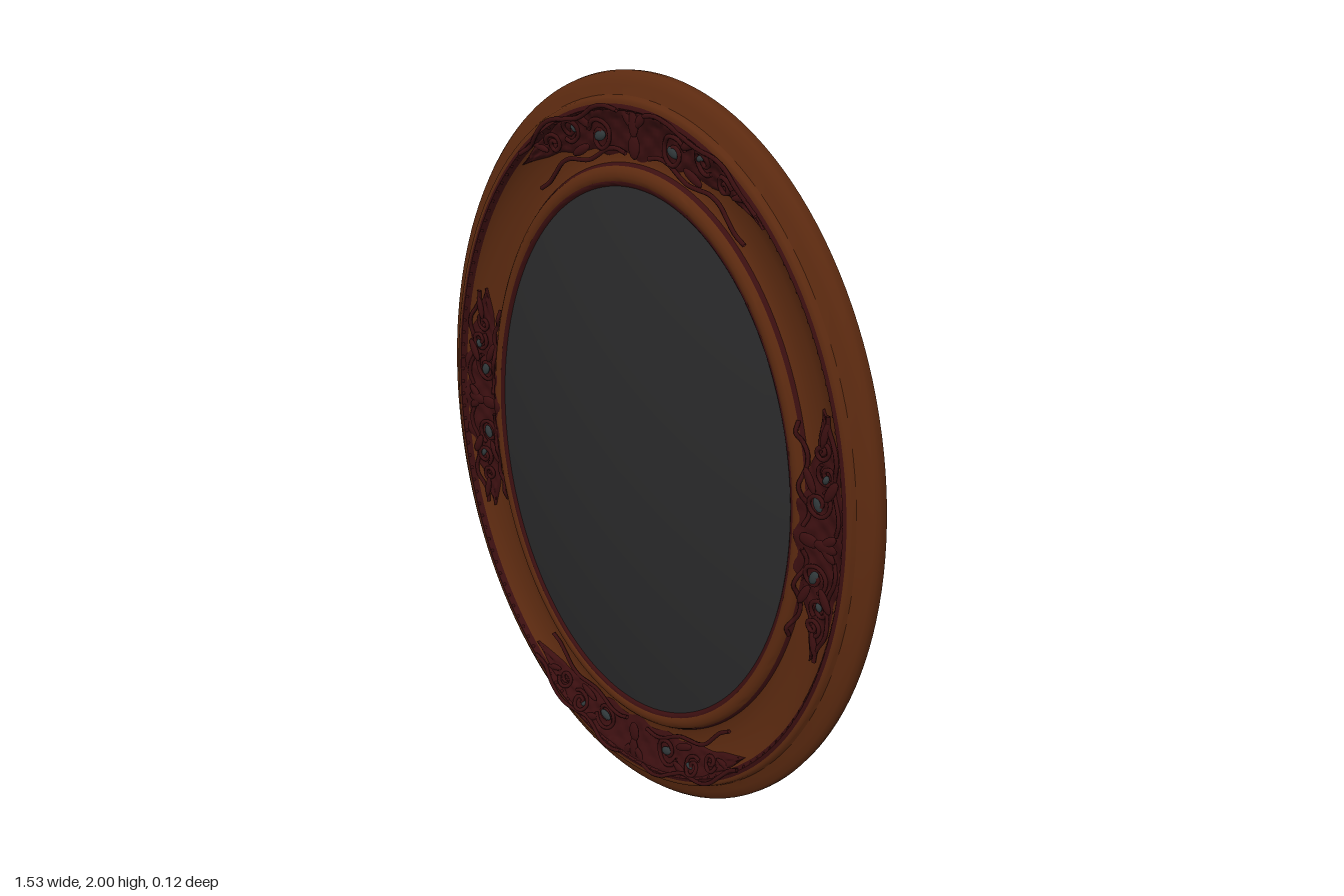
import * as THREE from 'three';
import { mergeGeometries, toCreasedNormals } from 'three/addons/utils/BufferGeometryUtils.js';
import { ParametricGeometry } from 'three/addons/geometries/ParametricGeometry.js';

const mat = (name, color, side = THREE.FrontSide) => {
  const m = new THREE.MeshStandardMaterial({ color, side });
  m.name = name;
  return m;
};

// Point on the oval whose half width is r, at angle a and depth z
const oval = (r, a, z, out = new THREE.Vector3()) => {
  const ry = 1 - (0.765 - r) * 1.115;
  return out.set(r * Math.cos(a), 1 + ry * Math.sin(a), z);
};

// Frame cross-sections as [half width, depth]
const FRONT = [
  [0.765, -0.04], [0.763, -0.028], [0.755, -0.018], [0.738, -0.01], [0.718, -0.002],
  [0.713, 0.01], [0.706, 0.014], [0.692, 0.013], [0.684, 0.004], [0.665, -0.009],
  [0.64, -0.017], [0.61, -0.021], [0.58, -0.02], [0.569, -0.015], [0.564, -0.003],
  [0.555, 0.005], [0.544, 0.007], [0.534, 0.005], [0.528, 0], [0.515, -0.008],
];
const BACK = [
  [0.515, -0.028], [0.605, -0.028], [0.625, -0.038], [0.66, -0.048], [0.7, -0.056],
  [0.74, -0.062], [0.754, -0.063], [0.763, -0.055], [0.765, -0.04],
];

// Depth of the frame's front at half width r
const surface = (r) => {
  for (let i = 1; i < FRONT.length; i++) {
    const [r0, z0] = FRONT[i - 1], [r1, z1] = FRONT[i];
    if (r >= r1) return THREE.MathUtils.lerp(z0, z1, (r0 - r) / (r0 - r1));
  }
  return FRONT.at(-1)[1];
};

// Sweep a cross-section round the oval
function sweep(profile, seg = 144) {
  const pos = [], idx = [], n = profile.length, v = new THREE.Vector3();
  for (let i = 0; i < seg; i++)
    for (const [r, z] of profile) pos.push(...oval(r, (i / seg) * Math.PI * 2, z, v).toArray());
  for (let i = 0; i < seg; i++)
    for (let j = 0; j < n - 1; j++) {
      const a = i * n + j, c = ((i + 1) % seg) * n + j;
      idx.push(a, c, a + 1, c, c + 1, a + 1);
    }
  const g = new THREE.BufferGeometry();
  g.setAttribute('position', new THREE.Float32BufferAttribute(pos, 3));
  g.setIndex(idx);
  return toCreasedNormals(g, 0.7);
}

// Raised half-round band between two half widths
const band = (r0, r1, h) => sweep([0, 1, 2, 3, 4].map((k) => {
  const r = THREE.MathUtils.lerp(r0, r1, k / 4);
  return [r, surface(r) - 0.002 + h * Math.sin((k / 4) * Math.PI)];
}));

export function createModel() {
  const wood = mat('brown wood', 0x5c2a10);
  const carved = mat('maroon carving', 0x3b0f10, THREE.DoubleSide);
  const glassMat = mat('dark glass', 0x2a2a2b);
  const boardMat = mat('olive backing', 0x40301f);
  const slate = mat('slate inlay', 0x30383a);
  const metal = mat('dull metal', 0x33312a);

  const model = new THREE.Group();
  model.name = 'ovalFrame';
  const add = (name, geo, m, parent = model) => {
    const mesh = new THREE.Mesh(geo, m);
    mesh.name = name;
    parent.add(mesh);
    return mesh;
  };

  add('frameMoulding', sweep([...FRONT, ...BACK]), wood);

  // Domed glass
  const dome = [];
  for (let i = 0; i <= 16; i++) {
    const s = 1 - i / 16;
    dome.push(new THREE.Vector2(s, 0.06 - 0.062 * s * s));
  }
  const glass = new THREE.LatheGeometry(dome, 96).rotateX(Math.PI / 2).scale(0.524, 0.73, 1);
  add('domedGlass', glass.translate(0, 1, 0), glassMat);

  // Backing board
  const board = new THREE.CircleGeometry(1, 96).rotateY(Math.PI).scale(0.612, 0.825, 1);
  add('backingBoard', board.translate(0, 1, -0.03), boardMat);

  // Carved bands and beads that run all the way round
  add('outerCarvedBand', band(0.704, 0.68, 0.006), carved);
  add('coveLine', band(0.573, 0.564, 0.005), carved);
  add('innerCarvedBand', band(0.536, 0.517, 0.006), carved);
  const beads = [];
  for (let i = 0; i < 150; i++) {
    const p = oval(0.692, (i / 150) * Math.PI * 2, 0.014);
    beads.push(new THREE.SphereGeometry(0.0065, 6, 4).translate(p.x, p.y, p.z - 0.003));
  }
  add('beading', mergeGeometries(beads), carved);

  // Four carved clusters: angle, local radius, half length, centre and half width
  const clusters = [
    ['topCarving', Math.PI / 2, 0.645, 0.42, 0.643, 0.068],
    ['bottomCarving', -Math.PI / 2, 0.645, 0.42, 0.643, 0.068],
    ['leftCarving', 0, 0.86, 0.34, 0.615, 0.084],
    ['rightCarving', Math.PI, 0.86, 0.34, 0.615, 0.084],
  ];
  for (const [name, angle, k, half, mid, wide] of clusters) {
    const group = new THREE.Group();
    group.name = name;
    model.add(group);
    const at = (s, d, z, out) => oval(mid + d, angle + s / k, z, out);

    // Scalloped ground that tapers to both ends
    const ground = new ParametricGeometry((u, v, out) => {
      const s = u * 2 - 1, w = v * 2 - 1;
      const taper = (1 - Math.abs(s) ** 1.8) * (0.92 + 0.1 * Math.cos(s * 22));
      const d = wide * taper * w + 0.03 * s * s;
      const rise = 0.013 * (1 - w ** 4) * (0.8 + 0.2 * Math.cos(s * 40) * Math.cos(w * 7));
      const z = Math.min(surface(mid + d) - 0.002 + rise, 0.012);
      at(s * half, d, z, out);
    }, 72, 12);
    add('carvedGround', ground, carved, group);

    const scrolls = [], leaves = [], inlays = [];
    const tube = (pts, r) => scrolls.push(
      new THREE.TubeGeometry(new THREE.CatmullRomCurve3(pts), 28, r, 5));
    const blob = (list, s, d, len, w, turn, z) => {
      const p = at(s, d, z);
      list.push(new THREE.SphereGeometry(1, 10, 6).scale(w, len, 0.007)
        .rotateZ(angle + turn).translate(p.x, p.y, p.z));
    };
    const height = (d) => Math.max(surface(mid + d) + 0.012, -0.003);
    for (const m of [-1, 1]) {
      // Spiral scrolls: place along, place across, radius, direction
      for (const [s0, d0, r, dir] of [
        [0.3, -0.012, 0.042, 1], [0.53, 0.022, 0.03, -1], [0.7, 0.012, 0.024, 1],
      ]) {
        const pts = [];
        for (let i = 0; i <= 16; i++) {
          const q = i / 16, a = dir * (0.5 + q * 9), rad = r * (1 - 0.8 * q);
          const d = d0 + rad * Math.sin(a);
          pts.push(at(m * (s0 * half + rad * Math.cos(a)), d, height(d)));
        }
        tube(pts, 0.006);
      }
      // Long stems reaching along the outer and inner edges
      for (const [d0, d1] of [[0.045, 0.052], [-0.05, -0.04]]) {
        const pts = [];
        for (let i = 0; i <= 10; i++) {
          const q = i / 10, d = d0 + (d1 - d0) * q + 0.01 * Math.sin(q * 12);
          pts.push(at(m * half * (0.1 + 0.85 * q), d, height(d) - 0.003));
        }
        tube(pts, 0.006);
      }
      // Leaves and inlays
      blob(leaves, m * 0.42 * half, 0.035, 0.034, 0.013, -m * 0.5, 0.004);
      blob(leaves, m * 0.48 * half, -0.03, 0.034, 0.012, m * 0.5, 0);
      blob(leaves, m * 0.82 * half, 0.03, 0.035, 0.01, -m * 0.2, 0);
      blob(leaves, m * 0.05 * half, 0.03, 0.026, 0.012, -m * 0.9, 0.006);
      blob(inlays, m * 0.3 * half, -0.01, 0.02, 0.013, m * 0.4, -0.002);
      blob(inlays, m * 0.5 * half, 0.02, 0.012, 0.008, -m * 0.4, 0.001);
    }
    blob(leaves, 0, -0.03, 0.018, 0.032, 0, 0.004);
    blob(leaves, 0, 0.02, 0.016, 0.036, 0, 0.006);
    add('scrolls', mergeGeometries(scrolls), carved, group);
    add('leaves', mergeGeometries(leaves), carved, group);
    add('inlays', mergeGeometries(inlays), slate, group);
  }

  // Hanging wire between two strap hangers
  const wire = new THREE.CatmullRomCurve3([
    [-0.38, 1.368], [-0.2, 1.322], [0, 1.303], [0.2, 1.322], [0.38, 1.368],
  ].map(([x, y]) => new THREE.Vector3(x, y, -0.037)));
  add('hangingWire', new THREE.TubeGeometry(wire, 40, 0.0035, 6), metal);
  for (const m of [-1, 1]) {
    const hanger = new THREE.Group();
    hanger.name = m > 0 ? 'leftHanger' : 'rightHanger';
    hanger.position.set(m * 0.425, 1.382, -0.035);
    hanger.rotation.z = m * 0.3;
    model.add(hanger);
    add('strap', new THREE.BoxGeometry(0.045, 0.03, 0.008), metal, hanger);
    add('ring', new THREE.TorusGeometry(0.017, 0.004, 6, 16), metal, hanger)
      .position.set(-m * 0.03, 0, -0.003);
    add('screw', new THREE.SphereGeometry(0.008, 10, 6), metal, hanger).position.z = -0.004;
    add('wireTwist', new THREE.CylinderGeometry(0.006, 0.006, 0.04, 6).rotateZ(Math.PI / 2),
      metal, hanger).position.set(-m * 0.07, 0, -0.003);
  }

  // Clips that hold the board
  for (let i = 0; i < 4; i++) {
    const a = (i * Math.PI) / 2;
    const clip = new THREE.Group();
    clip.name = 'boardClip';
    oval(0.592, a, -0.035, clip.position);
    clip.rotation.z = a;
    model.add(clip);
    add('clipPlate', new THREE.BoxGeometry(0.05, 0.016, 0.008), metal, clip);
    add('clipScrew', new THREE.SphereGeometry(0.009, 10, 6), metal, clip)
      .position.set(-0.02, 0, -0.003);
  }
  return model;
}
